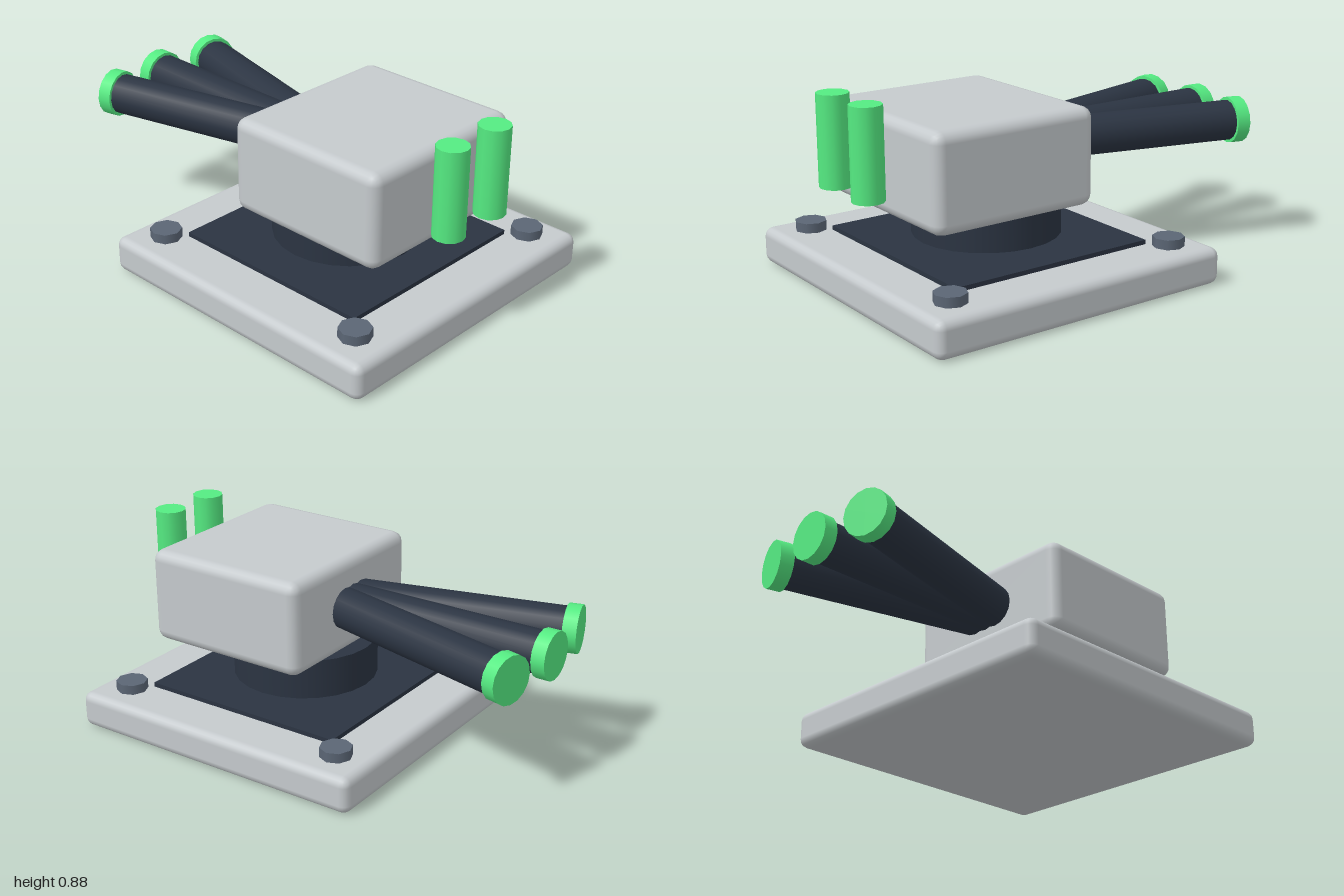
import * as THREE from 'three';
import { RoundedBoxGeometry } from 'three/addons/geometries/RoundedBoxGeometry.js';

const paint = (color) => new THREE.MeshStandardMaterial({ color });

export function createModel() {
  const model = new THREE.Group();
  const grey = paint(0xc5cacd);
  const dark = paint(0x2b3442);
  const steel = paint(0x5b6675);
  const green = paint(0x55eb82);
  const baseZ = 0.262;

  const add = (name, geometry, material, x, y, z, parent = model) => {
    const mesh = new THREE.Mesh(geometry, material);
    mesh.name = name;
    mesh.position.set(x, y, z);
    parent.add(mesh);
    return mesh;
  };

  // Square base with an inset plate
  add('base', new RoundedBoxGeometry(1.455, 0.165, 1.455, 2, 0.04), grey, 0, 0.0825, baseZ);
  add('basePlate', new THREE.BoxGeometry(0.99, 0.022, 0.99), dark, 0, 0.174, baseZ);

  // Corner bolts
  const boltGeometry = new THREE.CylinderGeometry(0.071, 0.071, 0.045, 8);
  for (const x of [-1, 1]) {
    for (const z of [-1, 1]) {
      add('bolt', boltGeometry, steel, x * 0.565, 0.186, baseZ + z * 0.565);
    }
  }

  // Swivel neck, floating just above the plate
  add('neck', new THREE.CylinderGeometry(0.331, 0.331, 0.18, 24), dark, 0, 0.293, baseZ);

  // Head housing
  add('head', new RoundedBoxGeometry(0.86, 0.43, 0.797, 2, 0.05), grey, 0, 0.585, 0.397);

  // Three barrels fanning out to the rear, each with an end cap
  const barrelGeometry = new THREE.CylinderGeometry(0.093, 0.093, 1.04, 16).rotateX(Math.PI / 2);
  const capGeometry = new THREE.CylinderGeometry(0.107, 0.107, 0.062, 16).rotateX(Math.PI / 2);
  for (const side of [-1, 0, 1]) {
    const arm = new THREE.Group();
    arm.name = 'barrelAssembly';
    arm.position.set(0, 0.583, 0.24);
    arm.rotation.y = -side * 0.25;
    add('barrel', barrelGeometry, dark, 0, 0, -0.66, arm);
    add('barrelCap', capGeometry, green, 0, 0, -1.209, arm);
    model.add(arm);
  }

  // Pair of upright rods in front of the head
  const rodGeometry = new THREE.CylinderGeometry(0.07, 0.07, 0.4, 12);
  for (const x of [-0.133, 0.133]) add('frontRod', rodGeometry, green, x, 0.685, 0.928);

  return model;
}
